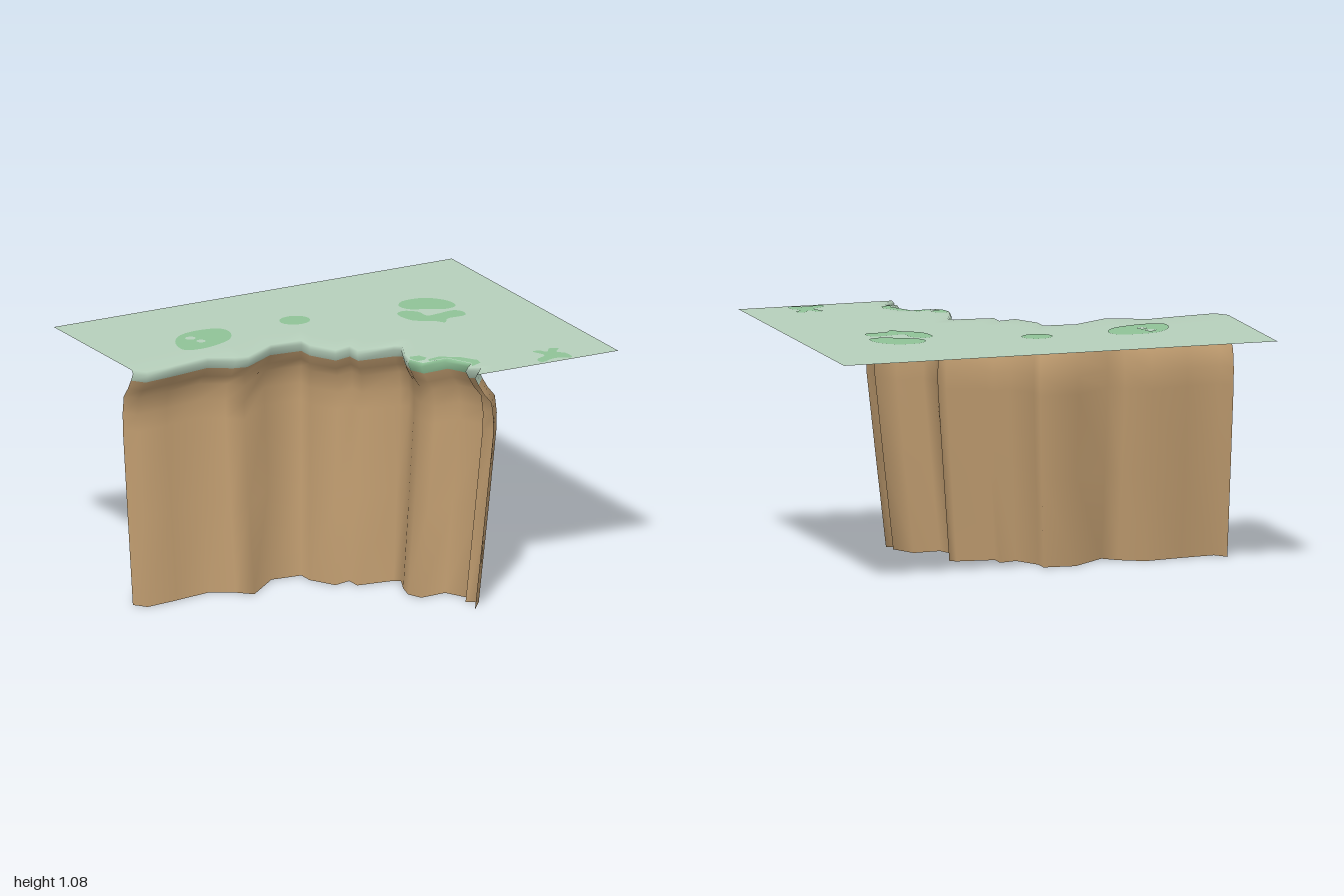
import * as THREE from 'three';

const material = (name, color) => {
  const m = new THREE.MeshStandardMaterial({ color, side: THREE.DoubleSide });
  m.name = name;
  return m;
};

const TOP = 1.08;

// Cliff edge seen from above: x, z, and inward heading in degrees (0 = +x, 90 = -z)
const EDGE = [
  [-1, -0.037, 90], [-0.957, 0.02, 90], [-0.8, 0, 90], [-0.626, -0.03, 90], [-0.52, 0.03, 90],
  [-0.46, 0.09, 90], [-0.294, -0.055, 80], [-0.15, -0.043, 62], [-0.15, 0.032, 60],
  [-0.086, 0.15, 56], [-0.005, 0.128, 52], [-0.005, 0.2, 48], [0.166, 0.22, 42],
  [0.193, 0.24, 38], [0.15, 0.337, 30], [0.128, 0.42, 24], [0.155, 0.49, 20],
  [0.28, 0.48, 16], [0.337, 0.594, 8], [0.294, 0.64, 5], [0.348, 0.663, 2], [0.28, 0.75, 0],
];

// Cliff profile: height and inward offset
const PROFILE = [
  [0, 0], [0.4, 0.047], [0.78, 0.09], [0.86, 0.092], [0.94, 0.082], [0.985, 0.045],
  [1.03, 0.018], [1.065, 0], [TOP, 0.012],
];
const LIP_ROW = 6, RIM_ROW = 8, INNER_ROW = 9;

function edgePoint(i, row) {
  const [x, z, deg] = EDGE[i];
  const a = THREE.MathUtils.degToRad(deg);
  const [y, offset] = row === INNER_ROW ? [TOP, 0.07 + 0.13 * deg / 90] : PROFILE[row];
  const ridge = i === 5 && row >= 5 ? 0.045 : 0; // the outer ridge fades below the lip
  return [x + Math.cos(a) * offset, y, z - Math.sin(a) * offset - ridge];
}

// Wall, lip and rounded rim share one smooth set of vertices
function edgeSurface() {
  const n = EDGE.length, positions = [], index = [];
  for (let row = 0; row <= INNER_ROW; row++)
    for (let i = 0; i < n; i++) positions.push(...edgePoint(i, row));
  const quads = (row0, row1, keep = () => true) => {
    const out = [];
    for (let row = row0; row < row1; row++)
      for (let i = 0; i < n - 1; i++) {
        if (!keep(i)) continue;
        const a = row * n + i, b = a + 1, c = b + n, d = a + n;
        out.push(a, b, c, a, c, d);
      }
    return out;
  };
  index.push(...quads(0, INNER_ROW));
  const geometry = new THREE.BufferGeometry();
  geometry.setAttribute('position', new THREE.Float32BufferAttribute(positions, 3));
  geometry.setIndex(index);
  geometry.computeVertexNormals();
  for (let i = 0; i < n; i++) geometry.attributes.normal.setXYZ(INNER_ROW * n + i, 0, 1, 0);
  const section = (...args) => geometry.clone().setIndex(quads(...args));
  return section;
}

// Flat horizontal sheet from a shape drawn in x, -z
function sheet(shape, y) {
  return new THREE.ShapeGeometry(shape, 8).rotateX(-Math.PI / 2).translate(0, y, 0);
}

function blob(points, smooth = true) {
  const pts = points.map(([x, z]) => new THREE.Vector3(x, -z, 0));
  const outline = smooth ? new THREE.CatmullRomCurve3(pts, true).getPoints(points.length * 5) : pts;
  return new THREE.Shape(outline.map(p => new THREE.Vector2(p.x, p.y)));
}

function ellipse(x, z, rx, rz) {
  return new THREE.Shape().absellipse(x, -z, rx, rz, 0, Math.PI * 2, false, 0);
}

export function createModel() {
  const group = new THREE.Group();
  const grass = material('pale grass', 0xb6cfbb);
  const moss = material('moss green', 0x8fc297);
  const rock = material('tan rock', 0xbd9a6e);
  const add = (name, geometry, mat) => {
    const mesh = new THREE.Mesh(geometry, mat);
    mesh.name = name;
    group.add(mesh);
  };

  // Cliff wall and grassy lip, with a mossy stretch on the lip
  const section = edgeSurface();
  const mossy = i => i >= 15 && i <= 17;
  add('cliffWall', section(0, LIP_ROW), rock);
  add('grassLip', section(LIP_ROW, RIM_ROW, i => !mossy(i)), grass);
  add('mossyLip', section(LIP_ROW, RIM_ROW, mossy), moss);
  add('grassRim', section(RIM_ROW, INNER_ROW), grass);

  // Flat ground behind the rim
  const inner = EDGE.map((_, i) => {
    const [x, , z] = edgePoint(i, INNER_ROW);
    return [x, z];
  });
  add('grassTop', sheet(blob([...inner, [1, 0.75], [1, -0.75], [-1, -0.75]], false), TOP), grass);

  // Moss patches, seen from above and below
  const large = blob([[-0.66, -0.18], [-0.65, -0.28], [-0.58, -0.37], [-0.476, -0.396], [-0.38, -0.374],
    [-0.36, -0.32], [-0.406, -0.225], [-0.5, -0.176], [-0.6, -0.16]]);
  large.holes.push(ellipse(-0.556, -0.315, 0.024, 0.022), ellipse(-0.535, -0.257, 0.02, 0.02));
  const patches = [
    large,
    ellipse(-0.032, -0.315, 0.07, 0.062),
    blob([[0.465, -0.267], [0.51, -0.32], [0.62, -0.315], [0.69, -0.23], [0.685, -0.15],
      [0.62, -0.134], [0.555, -0.17], [0.48, -0.21]]),
    blob([[0.405, -0.176], [0.45, -0.198], [0.5, -0.155], [0.508, -0.09], [0.556, -0.09], [0.647, -0.1],
      [0.674, -0.064], [0.658, -0.016], [0.567, -0.01], [0.53, 0.032], [0.5, -0.005], [0.417, -0.064]]),
    blob([[0.663, 0.583], [0.695, 0.583], [0.717, 0.615], [0.75, 0.578], [0.786, 0.594], [0.754, 0.636],
      [0.78, 0.668], [0.775, 0.735], [0.706, 0.71], [0.626, 0.733], [0.626, 0.69], [0.684, 0.652]]),
    blob([[0.143, 0.41], [0.155, 0.385], [0.2, 0.39], [0.215, 0.43], [0.19, 0.455], [0.155, 0.455]], false),
    blob([[0.2, 0.48], [0.21, 0.455], [0.27, 0.445], [0.35, 0.5], [0.395, 0.57], [0.385, 0.61],
      [0.33, 0.635], [0.349, 0.592], [0.292, 0.477]], false),
  ];
  patches.forEach((shape, i) => {
    add(`mossPatch${i + 1}`, sheet(shape, TOP + 0.002), moss);
    add(`mossPatchUnderside${i + 1}`, sheet(shape, TOP - 0.002), moss);
  });
  return group;
}
